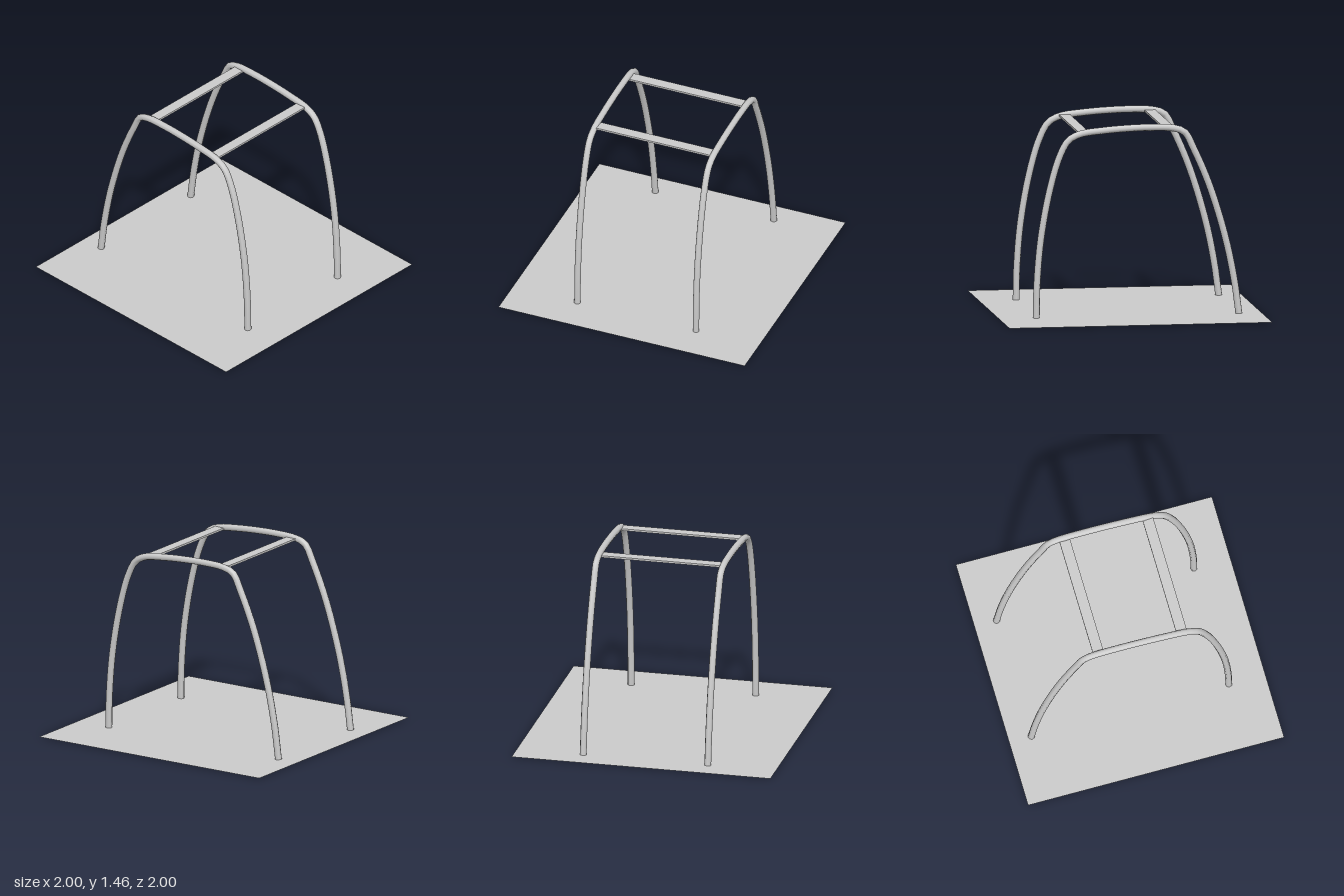
import * as THREE from 'three';

const material = new THREE.MeshStandardMaterial({ color: 0xcccccc, side: THREE.DoubleSide });

function addMesh(group, name, geometry, x, y, z) {
  const mesh = new THREE.Mesh(geometry, material);
  mesh.name = name;
  mesh.position.set(x, y, z);
  group.add(mesh);
  return mesh;
}

export function createModel() {
  const group = new THREE.Group();
  group.name = 'archFrame';

  // Thin square ground sheet
  const sheet = addMesh(group, 'groundSheet', new THREE.PlaneGeometry(2, 2), 0, 0.004, 0);
  sheet.rotation.x = -Math.PI / 2;

  // Bent side tubes: front foot, over the top, back foot, as [z, y]
  const path = [
    [0.715, 0], [0.71, 0.25], [0.68, 0.6], [0.61, 0.98], [0.535, 1.23], [0.47, 1.345],
    [0.385, 1.39], [0.2, 1.415], [0, 1.428], [-0.15, 1.431], [-0.33, 1.422],
    [-0.415, 1.39], [-0.48, 1.27], [-0.6, 0.99], [-0.72, 0.6], [-0.79, 0.27], [-0.827, 0.003],
  ].map(([z, y]) => new THREE.Vector3(0, y, z));
  const curve = new THREE.CatmullRomCurve3(path, false, 'centripetal');
  const tube = new THREE.TubeGeometry(curve, 80, 0.026, 8, false);
  addMesh(group, 'leftSideTube', tube, 0.488, 0, 0);
  addMesh(group, 'rightSideTube', tube, -0.475, 0, 0);

  // Flat cross slats between the tubes
  const slat = new THREE.BoxGeometry(0.93, 0.015, 0.082);
  addMesh(group, 'frontSlat', slat, 0.006, 1.397, 0.35);
  addMesh(group, 'backSlat', slat, 0.006, 1.418, -0.3);

  return group;
}
